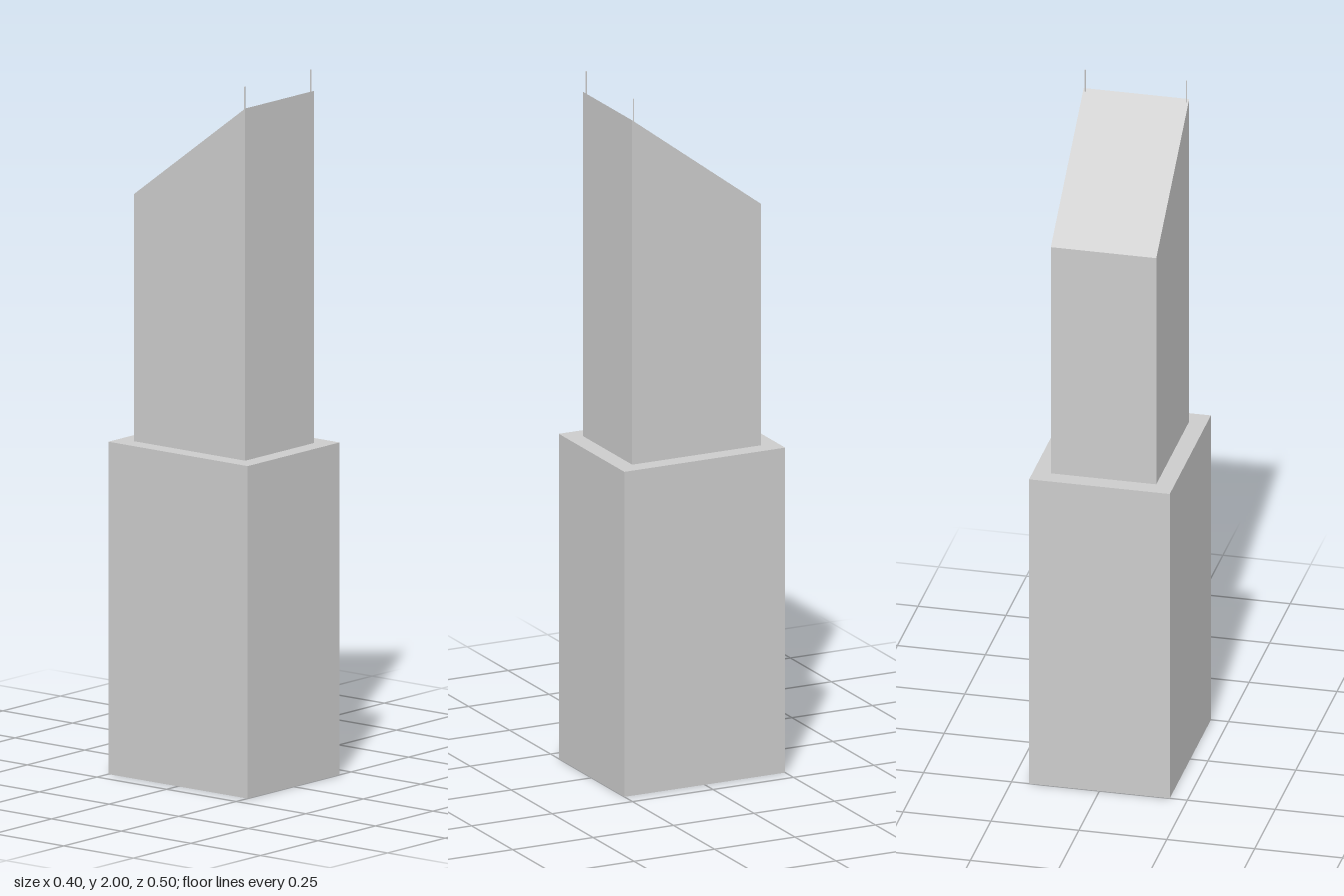
import * as THREE from 'three';

export function createModel() {
  const group = new THREE.Group();
  const material = new THREE.MeshStandardMaterial({ color: 0xcccccc, flatShading: true });

  function add(name, geometry, x = 0, y = 0, z = 0) {
    const mesh = new THREE.Mesh(geometry, material);
    mesh.name = name;
    mesh.position.set(x, y, z);
    group.add(mesh);
    return mesh;
  }

  const baseHeight = 0.942;
  const roofFront = 1.94;
  const roofBack = 1.642;

  // Wide lower block
  add('base', new THREE.BoxGeometry(0.4, baseHeight, 0.5), 0, baseHeight / 2, 0);

  // Narrower tower: a box whose top slopes down towards the back
  const tower = new THREE.BoxGeometry(0.3, 1, 0.4);
  const p = tower.attributes.position;
  for (let i = 0; i < p.count; i++) {
    const top = p.getZ(i) > 0 ? roofFront : roofBack;
    p.setY(i, p.getY(i) > 0 ? top : baseHeight);
  }
  tower.computeVertexNormals();
  add('tower', tower);

  // Thin masts at the two front corners of the roof
  const mastBottom = 1.93;
  for (const side of [-1, 1]) {
    add(side > 0 ? 'leftMast' : 'rightMast',
      new THREE.CylinderGeometry(0.002, 0.002, 2 - mastBottom, 8),
      side * 0.144, (2 + mastBottom) / 2, 0.193);
  }

  return group;
}
